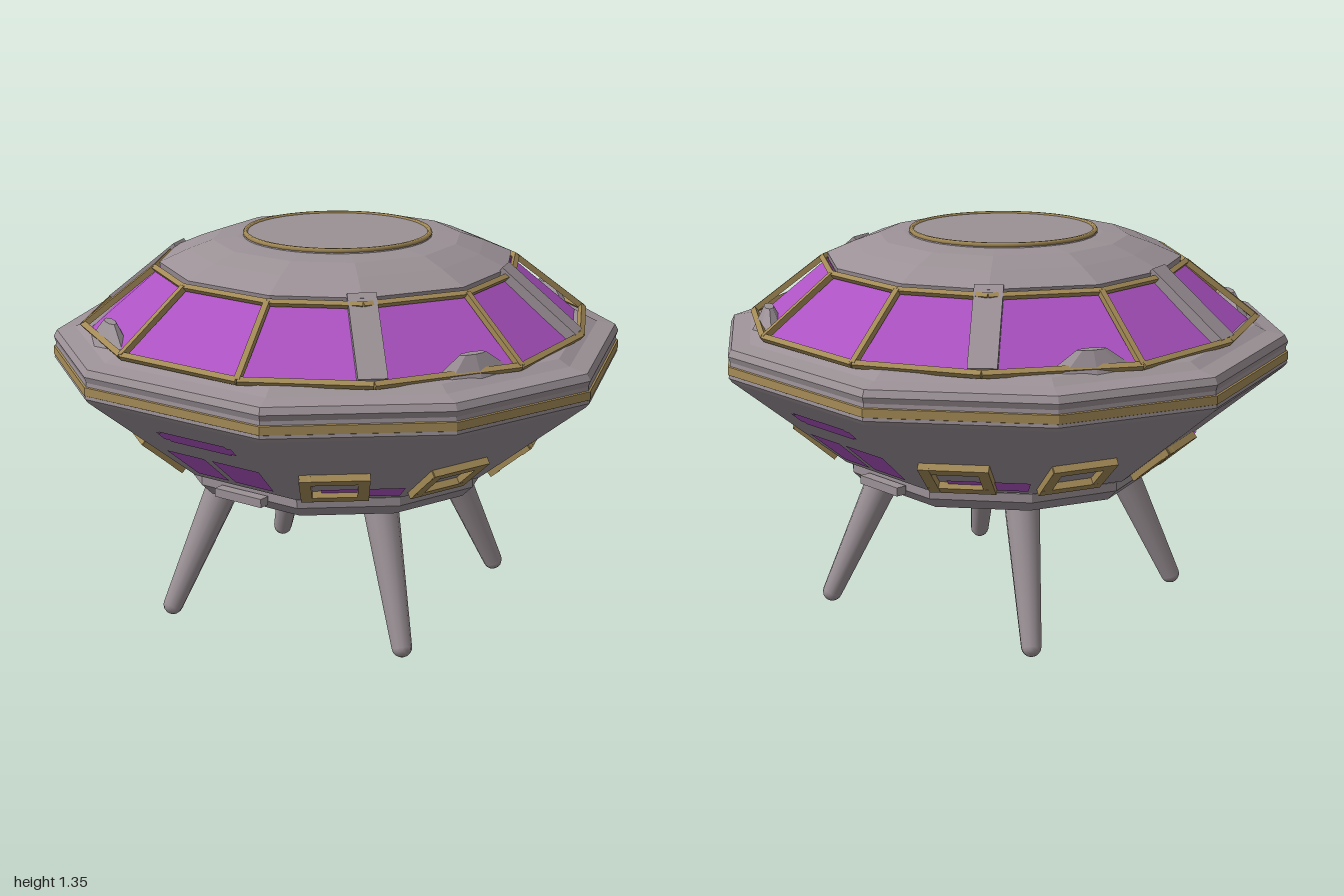
import * as THREE from 'three';

const mat = (name, color) => Object.assign(new THREE.MeshStandardMaterial({ color }), { name });
const V = (x, y, z) => new THREE.Vector3(x, y, z);
const polar = (deg, r, y) => {
  const a = THREE.MathUtils.degToRad(deg);
  return V(r * Math.cos(a), y, r * Math.sin(a));
};

// Irregular outlines as [angle, radius]; the second half repeats the first, turned 180 degrees
const twice = half => [...half, ...half.map(([a, r]) => [a + 180, r])];
const HULL = twice([[-2, 1], [30, 1], [69, 1.02], [101, 1.01], [136, 1.015]]);
const DOME = twice([[-5, 1], [24, 1], [51, 0.98], [81, 1], [115, 1], [143, 1]]);

// Faceted skin from rows of points running bottom to top
function skin(rows, closed) {
  const pos = [];
  const n = rows[0].length;
  for (let i = 0; i < rows.length - 1; i++) {
    for (let j = 0; j < (closed ? n : n - 1); j++) {
      const k = (j + 1) % n;
      const a = rows[i][j], b = rows[i + 1][j], c = rows[i][k], d = rows[i + 1][k];
      for (const p of [a, b, c, c, b, d]) pos.push(p.x, p.y, p.z);
    }
  }
  const g = new THREE.BufferGeometry();
  g.setAttribute('position', new THREE.Float32BufferAttribute(pos, 3));
  g.computeVertexNormals();
  return g;
}
const loft = (outline, profile) =>
  skin(profile.map(([s, y]) => outline.map(([a, r]) => polar(a, r * s, y))), true);

// Point on the sloping underside at an angle and height
function hullPoint(deg, y, lift = 0) {
  const d = polar(deg, 1, 0);
  let t = Infinity;
  HULL.forEach(([a, r], i) => {
    const p = polar(a, r, 0);
    const e = polar(...HULL[(i + 1) % HULL.length], 0).sub(p);
    const h = (p.x * e.z - p.z * e.x) / (d.x * e.z - d.z * e.x);
    if (h > 0) t = Math.min(t, h);
  });
  const s = THREE.MathUtils.mapLinear(y, 0.57, 0.895, 0.59, 0.985);
  return polar(deg, t * s + lift * 0.64, y - lift * 0.77);
}

// Box from p to q, its flat side facing the normal
function barGeometry(p, q, width, thick, normal) {
  const dir = q.clone().sub(p);
  const g = new THREE.BoxGeometry(width, dir.length(), thick);
  const y = dir.normalize();
  const x = y.clone().cross(normal).normalize();
  const z = x.clone().cross(y);
  const m = new THREE.Matrix4().makeBasis(x, y, z);
  m.setPosition(p.clone().add(q).multiplyScalar(0.5));
  return g.applyMatrix4(m);
}

export function createModel() {
  const grey = mat('hull grey', 0x9b9196);
  const gold = mat('trim gold', 0xa38a56);
  const purple = mat('window purple', 0xac52c2);
  purple.side = THREE.DoubleSide;

  const model = new THREE.Group();
  model.name = 'saucer';
  const add = (name, geometry, material) => {
    const m = new THREE.Mesh(geometry, material);
    m.name = name;
    model.add(m);
    return m;
  };

  // Main body, base plate and roof
  add('hull', loft(HULL, [[0.4, 0.56], [0.59, 0.57], [0.985, 0.895], [0.997, 0.91], [0.99, 0.965],
    [0.997, 0.985], [0.985, 1.008], [0.92, 1.02], [0.88, 1.04], [0.7, 1.05]]), grey);
  add('base', loft(HULL, [[0, 0.49], [0.525, 0.49], [0.565, 0.53], [0.565, 0.56], [0.5, 0.575]]), grey);
  add('goldBand', loft(HULL, [[0.99, 0.918], [0.999, 0.922], [0.998, 0.95], [0.985, 0.954]]), gold);
  add('windowRing', loft(DOME, [[0.87, 1.03], [0.62, 1.24]]), purple);
  add('roof', loft(DOME, [[0.55, 1.225], [0.615, 1.235], [0.62, 1.262], [0.52, 1.305],
    [0.435, 1.335], [0.35, 1.342], [0, 1.345]]), grey);

  // Round hatch on top
  const hatch = add('hatch', new THREE.CylinderGeometry(0.32, 0.335, 0.02, 40), grey);
  hatch.position.y = 1.343;
  const hatchRing = add('hatchRing', new THREE.TorusGeometry(0.32, 0.009, 6, 48), gold);
  hatchRing.rotation.x = Math.PI / 2;
  hatchRing.position.y = 1.351;

  // Gold window frames, with a wide grey post at every third corner
  const outer = DOME.map(([a, r]) => polar(a, r * 0.885, 1.05));
  const inner = DOME.map(([a, r]) => polar(a, r * 0.637, 1.243));
  DOME.forEach(([a], i) => {
    const k = (i + 1) % DOME.length;
    const n = polar(a, 0.64, 0.77);
    add('lowerFrame', barGeometry(outer[i], outer[k], 0.02, 0.02, n), gold);
    add('upperFrame', barGeometry(inner[i], inner[k], 0.018, 0.018, n), gold);
    if ([2, 4, 8, 10].includes(i)) {
      add('post', barGeometry(polar(a, 0.85, 1.05), polar(a, 0.59, 1.262), 0.095, 0.035, n), grey);
    } else {
      add('strut', barGeometry(outer[i], inner[i], 0.02, 0.02, n), gold);
    }
  });

  // Low humps on the shoulder
  for (const a of [11, 91, 191, 271]) {
    const hump = add('hump', new THREE.CylinderGeometry(0.05, 0.18, 0.09, 8).toNonIndexed(), grey);
    hump.geometry.computeVertexNormals();
    hump.scale.z = 0.35;
    hump.position.copy(polar(a, 0.82, 1.06));
    hump.rotation.y = Math.PI / 2 - THREE.MathUtils.degToRad(a);
  }

  // Thin purple panes that follow the underside
  const pane = (name, a0, a1, y0, y1) => {
    const row = y => Array.from({ length: 9 }, (_, i) => hullPoint(a0 + (a1 - a0) * i / 8, y, 0.007));
    add(name, skin([row(y0), row(y1)], false), purple);
  };

  for (const turn of [0, 180]) {
    pane('slotWindow', turn - 35, turn - 14, 0.79, 0.822);
    pane('slotWindow', turn - 33.5, turn - 15.5, 0.782, 0.83);
    pane('lowerWindow', turn - 38, turn - 23, 0.605, 0.715);
    pane('lowerWindow', turn - 20.5, turn - 8, 0.605, 0.715);
    pane('lowerPane', turn + 103, turn + 127, 0.592, 0.635);
    pane('lowerPane', turn + 12, turn + 32, 0.592, 0.65);

    // Gold hatch frames on the underside
    for (const c of [11, 57, 90, 123]) {
      const a = turn + c;
      const n = polar(a, 0.64, -0.77);
      const [p, q, r, s] = [[-8.5, 0.605], [-7.5, 0.7], [7.5, 0.7], [8.5, 0.605]]
        .map(([da, y]) => hullPoint(a + da, y, 0.008));
      for (const [u, v] of [[p, q], [q, r], [r, s], [s, p]]) {
        const e = v.clone().sub(u).setLength(0.018);
        add('hatchFrame', barGeometry(u.clone().sub(e), v.clone().add(e), 0.038, 0.032, n), gold);
      }
    }

    // Small ledge on the base
    add('ledge', barGeometry(polar(turn - 32, 0.565, 0.535), polar(turn - 12, 0.565, 0.535),
      0.03, 0.04, polar(turn - 22, 1, 0)), grey);
  }

  // Splayed tapering legs with rounded feet
  for (const a of [12, 102, 192, 282]) {
    const foot = polar(a, 0.625, 0.042);
    const top = polar(a, 0.4, 0.53);
    const dir = top.clone().sub(foot);
    const leg = new THREE.Group();
    leg.name = 'leg';
    const shaft = new THREE.Mesh(new THREE.CylinderGeometry(0.064, 0.035, dir.length(), 12), grey);
    shaft.name = 'shaft';
    shaft.position.y = dir.length() / 2;
    const tip = new THREE.Mesh(new THREE.SphereGeometry(0.035, 12, 8), grey);
    tip.name = 'foot';
    leg.add(shaft, tip);
    leg.position.copy(foot);
    leg.quaternion.setFromUnitVectors(V(0, 1, 0), dir.normalize());
    model.add(leg);
  }
  return model;
}
